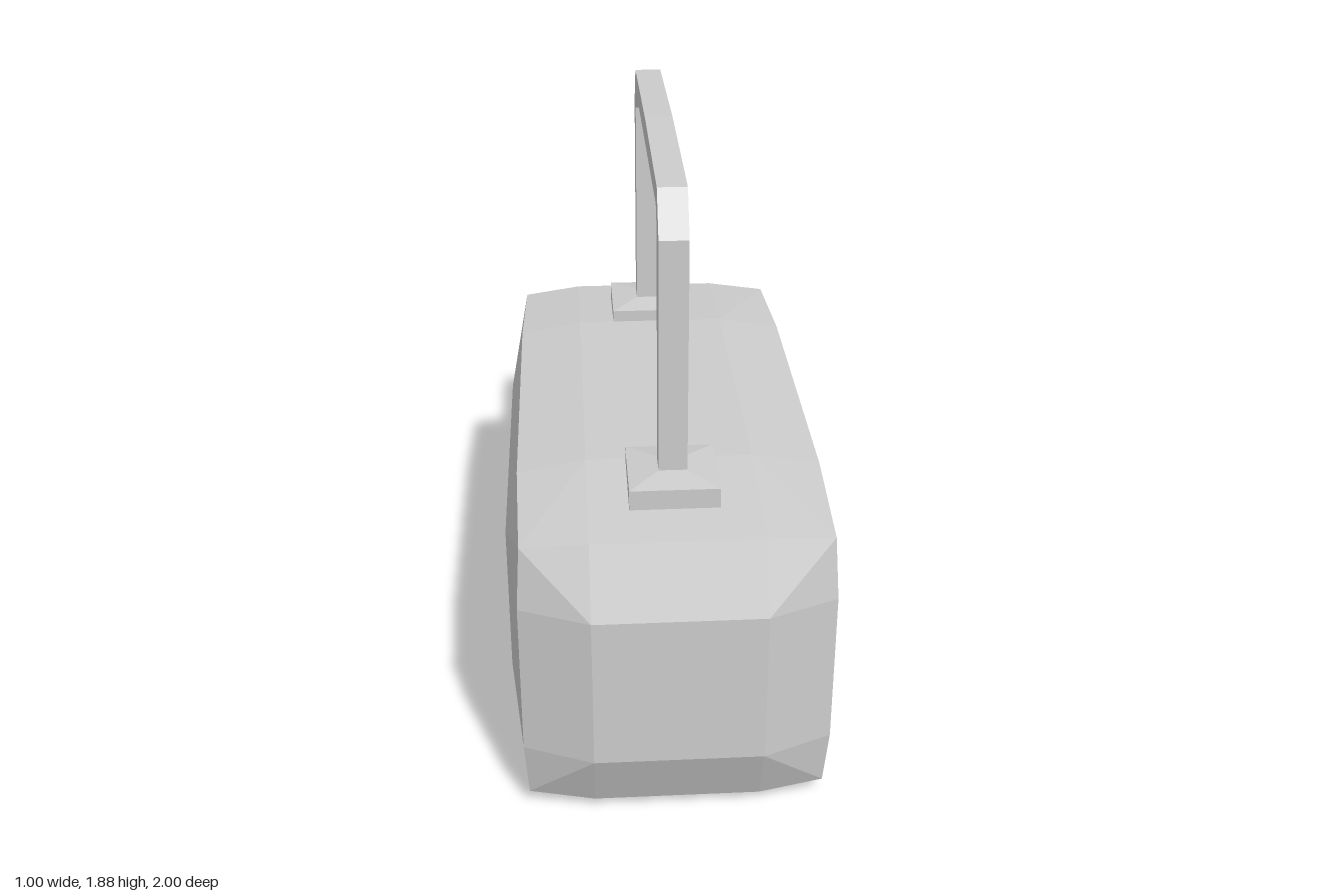
import * as THREE from 'three';

const grey = new THREE.MeshStandardMaterial({ color: 0xcccccc, flatShading: true });
grey.name = 'grey metal';

const H = 0.98; // body height
const HALF = [0.5, H / 2, 1];

// Vertex of a bulged 3x3x3 box; edges and corners are pulled in, t is the wall inset
function gridPoint(ijk, t) {
  const extremes = ijk.filter((n) => n === 0 || n === 3).length;
  const pull = [[0, 0, 0], [0.043, 0.036, 0.085], [0.054, 0.055, 0.11]][extremes - 1];
  const inner = [0.25, 0.245, t ? 0.46 : 0.5];
  const p = ijk.map((n, a) => {
    const outer = n === 0 || n === 3;
    return (n < 2 ? -1 : 1) * (outer ? HALF[a] - pull[a] - t : inner[a]);
  });
  p[1] += H / 2;
  return p;
}

// Hollow body with a slot high on the +x side
function bodyGeometry() {
  const pos = [];
  const quad = (a, b, c, d) => pos.push(...a, ...b, ...c, ...a, ...c, ...d);
  const shell = (t, inward) => {
    for (let a = 0; a < 3; a++) for (const s of [0, 3]) {
      const u = (a + 1) % 3, v = (a + 2) % 3;
      for (let i = 0; i < 3; i++) for (let j = 0; j < 3; j++) {
        if (a === 0 && s === 3 && i === 2 && j === 1) continue; // slot
        let c = [[0, 0], [1, 0], [1, 1], [0, 1]].map(([di, dj]) => {
          const n = [0, 0, 0];
          n[a] = s; n[u] = i + di; n[v] = j + dj;
          return gridPoint(n, t);
        });
        // run the split through the box corner
        if ((i === 0) !== (j === 0)) c = [c[1], c[2], c[3], c[0]];
        if ((s === 0) !== inward) c = [c[0], c[3], c[2], c[1]];
        quad(...c);
      }
    }
  };
  shell(0, false);
  shell(0.04, true);
  // slot rim joins the outer and inner walls
  const loop = [[3, 2, 1], [3, 3, 1], [3, 3, 2], [3, 2, 2]];
  loop.forEach((p, i) => {
    const q = loop[(i + 1) % 4];
    quad(gridPoint(p, 0), gridPoint(q, 0), gridPoint(q, 0.04), gridPoint(p, 0.04));
  });
  const g = new THREE.BufferGeometry();
  g.setAttribute('position', new THREE.Float32BufferAttribute(pos, 3));
  g.computeVertexNormals();
  return g;
}

export function createModel() {
  const group = new THREE.Group();
  const add = (name, geometry, parent = group) => {
    const mesh = new THREE.Mesh(geometry, grey);
    mesh.name = name;
    parent.add(mesh);
    return mesh;
  };

  add('body', bodyGeometry());

  // Handle: square bar with chamfered corners, outlined in the z-y plane
  const outer = [[0.67, 1], [0.67, 1.74], [0.595, 1.865]];
  const inner = [[0.592, 1], [0.592, 1.735], [0.547, 1.802]];
  const mirror = (pts) => pts.map(([z, y]) => [-z, y]).reverse();
  const outline = [...outer, [0, 1.88], ...mirror(outer),
    ...mirror(inner).reverse(), ...[...inner].reverse()];
  const shape = new THREE.Shape(outline.map(([z, y]) => new THREE.Vector2(z, y)));
  const bar = new THREE.ExtrudeGeometry(shape, { depth: 0.084, bevelEnabled: false });
  bar.translate(0, 0, -0.042);
  bar.rotateY(-Math.PI / 2);
  add('handle', bar);

  // Mounting pads with shallow sloped tops
  for (const side of [1, -1]) {
    const pad = new THREE.Group();
    pad.name = side > 0 ? 'frontPad' : 'backPad';
    pad.position.z = side * 0.631;
    group.add(pad);
    add('padBase', new THREE.BoxGeometry(0.262, 0.062, 0.262), pad).position.y = 0.989;
    const top = new THREE.CylinderGeometry(0.042 * Math.SQRT2, 0.131 * Math.SQRT2, 0.015, 4, 1, true);
    top.rotateY(Math.PI / 4);
    add('padTop', top, pad).position.y = 1.0275;
  }
  return group;
}
